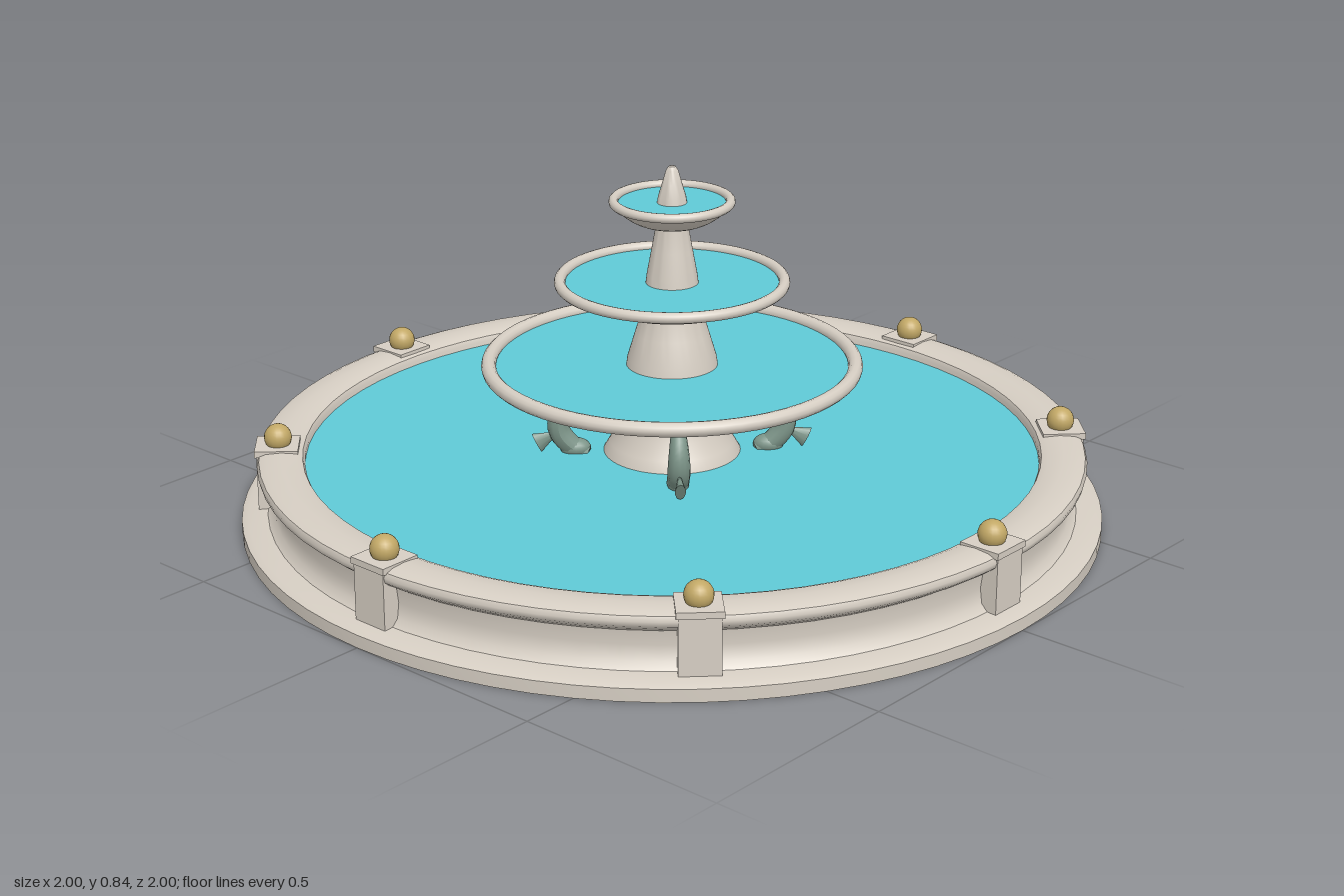
import * as THREE from 'three';
import { toCreasedNormals } from 'three/addons/utils/BufferGeometryUtils.js';

const material = (name, color) => {
  const m = new THREE.MeshStandardMaterial({ color });
  m.name = name;
  return m;
};

export function createModel() {
  const fountain = new THREE.Group();
  fountain.name = 'fountain';

  const stone = material('stone', 0xd6cec3);
  const water = material('water', 0x5fcad6);
  const brass = material('brass', 0xc2a866);
  const verdigris = material('verdigris', 0x7c9488);

  const add = (parent, name, geometry, mat, x = 0, y = 0, z = 0) => {
    const mesh = new THREE.Mesh(geometry, mat);
    mesh.name = name;
    mesh.position.set(x, y, z);
    parent.add(mesh);
    return mesh;
  };
  const turned = (points, segments = 64) => toCreasedNormals(
    new THREE.LatheGeometry(points.map(([r, y]) => new THREE.Vector2(r, y)), segments), 0.7);
  const pool = (name, radius, y) => {
    const disc = add(fountain, name, new THREE.CircleGeometry(radius, 64), water, 0, y);
    disc.rotation.x = -Math.PI / 2;
  };

  // Basin: plinth, coved wall, rounded lip and inner wall
  add(fountain, 'basin', turned([
    [0, 0], [1, 0], [1, 0.03], [0.985, 0.037], [0.94, 0.04], [0.925, 0.055], [0.92, 0.09],
    [0.925, 0.125], [0.945, 0.138], [0.957, 0.148], [0.96, 0.16], [0.955, 0.171], [0.94, 0.177],
    [0.905, 0.18], [0.87, 0.177], [0.855, 0.171], [0.85, 0.16], [0.85, 0.05], [0, 0.05],
  ], 72), stone);
  pool('basinWater', 0.852, 0.15);

  // Eight posts with ball finials around the lip
  for (let i = 0; i < 8; i++) {
    const post = new THREE.Group();
    post.name = 'post';
    post.rotation.y = i * Math.PI / 4;
    add(post, 'postBlock', new THREE.BoxGeometry(0.09, 0.14, 0.09), stone, 0, 0.105, 0.915);
    add(post, 'postCap', new THREE.BoxGeometry(0.1, 0.015, 0.1), stone, 0, 0.176, 0.914);
    add(post, 'postBall', new THREE.SphereGeometry(0.032, 20, 14), brass, 0, 0.2, 0.912);
    fountain.add(post);
  }

  // Flared columns between the bowls
  add(fountain, 'pedestal', turned([
    [0.17, 0.05], [0.165, 0.14], [0.145, 0.175], [0.128, 0.21], [0.115, 0.25], [0.11, 0.31],
  ]), stone);
  add(fountain, 'middleColumn', turned([
    [0.11, 0.33], [0.103, 0.38], [0.085, 0.44], [0.07, 0.49], [0.065, 0.53],
  ]), stone);
  add(fountain, 'upperColumn', turned([
    [0.064, 0.53], [0.058, 0.58], [0.047, 0.64], [0.038, 0.69], [0.036, 0.72],
  ], 40), stone);

  // Three shallow bowls, each with a rounded rim and a sheet of water
  const bowls = [
    ['lower', 0.44, 0.365, 0.085, 0.11, 0.017],
    ['middle', 0.27, 0.563, 0.06, 0.065, 0.013],
    ['upper', 0.144, 0.753, 0.055, 0.036, 0.011],
  ];
  for (const [name, radius, rimY, depth, neck, tube] of bowls) {
    const edge = radius - tube;
    const outside = [];
    for (let i = 0; i <= 8; i++) {
      const t = i / 8;
      outside.push([neck + (edge + tube * 0.7 - neck) * t, rimY - depth * (1 - t ** 2.2)]);
    }
    add(fountain, name + 'Bowl', turned([[0, rimY - depth], ...outside]), stone);
    const rim = add(fountain, name + 'BowlRim',
      new THREE.TorusGeometry(edge, tube, 12, 64), stone, 0, rimY);
    rim.rotation.x = Math.PI / 2;
    pool(name + 'BowlWater', edge, rimY - 0.003);
  }

  // Pointed finial on the top bowl
  add(fountain, 'finial', turned([
    [0.036, 0.735], [0.032, 0.765], [0.023, 0.795], [0.014, 0.826], [0.008, 0.835], [0, 0.837],
  ], 24), stone);

  // Four curved fish supports on the diagonals, tapering toward the bowl
  const spine = new THREE.CatmullRomCurve3([
    [0.2, 0.145], [0.235, 0.165], [0.262, 0.2], [0.262, 0.245], [0.24, 0.285], [0.22, 0.31],
  ].map(([r, y]) => new THREE.Vector3(0, y, r)));
  const rings = 18, sides = 12;
  const body = new THREE.TubeGeometry(spine, rings, 0.026, sides);
  const position = body.attributes.position;
  const point = new THREE.Vector3();
  for (let i = 0; i < position.count; i++) {
    const t = Math.floor(i / (sides + 1)) / rings;
    const centre = spine.getPointAt(t);
    point.fromBufferAttribute(position, i).sub(centre)
      .multiplyScalar(0.65 + 0.35 * Math.sin(Math.PI * Math.min(1, t + 0.15))).add(centre);
    position.setXYZ(i, point.x, point.y, point.z);
  }
  body.computeVertexNormals();
  for (let i = 0; i < 4; i++) {
    const fish = new THREE.Group();
    fish.name = 'fishSupport';
    fish.rotation.y = Math.PI / 4 + i * Math.PI / 2;
    add(fish, 'fishBody', body, verdigris);
    const head = add(fish, 'fishHead', new THREE.SphereGeometry(0.026, 16, 12), verdigris, 0, 0.158, 0.225);
    head.scale.set(1, 0.9, 1.4);
    const fin = add(fish, 'fishFin', new THREE.ConeGeometry(0.025, 0.06, 10), verdigris, 0, 0.185, 0.288);
    fin.scale.x = 0.5;
    fin.rotation.x = -1.1;
    fountain.add(fish);
  }

  return fountain;
}
